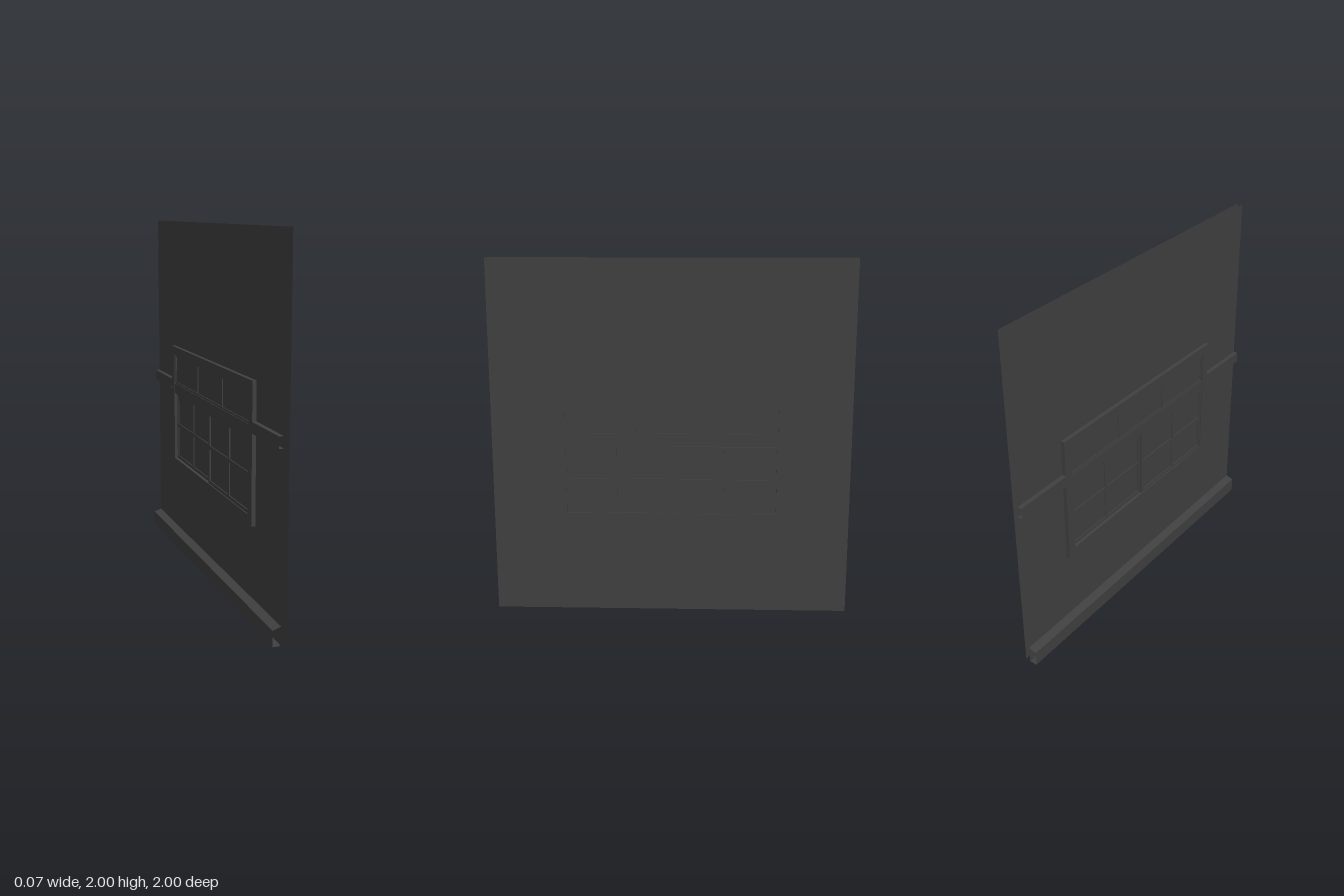
import * as THREE from 'three';

const mat = new THREE.MeshStandardMaterial({ color: 0x404040, side: THREE.DoubleSide });

const OUT_X = 0.037, IN_X = 0.008; // outer and inner wall skins

export function createModel() {
  const model = new THREE.Group();
  const group = (name, parent = model) => {
    const g = new THREE.Group();
    g.name = name;
    parent.add(g);
    return g;
  };
  const add = (parent, name, geo) => {
    const m = new THREE.Mesh(geo, mat);
    m.name = name;
    parent.add(m);
    return m;
  };
  // box given by its extents
  const box = (parent, name, [x0, x1], [y0, y1], [z0, z1]) =>
    add(parent, name, new THREE.BoxGeometry(x1 - x0, y1 - y0, z1 - z0))
      .position.set((x0 + x1) / 2, (y0 + y1) / 2, (z0 + z1) / 2);
  // thin wall skin with a window opening, facing +x (dir 1) or -x (dir -1)
  const skin = (name, x, dir, [y0, y1], [z0, z1]) => {
    const rect = (C, a, b, c, d) => new C([[a, b], [c, b], [c, d], [a, d]].map(p => new THREE.Vector2(...p)));
    const shape = rect(THREE.Shape, -1, 0, 1, 2);
    shape.holes.push(rect(THREE.Path, -dir * z0, y0, -dir * z1, y1));
    const geo = new THREE.ShapeGeometry(shape);
    geo.rotateY(dir * Math.PI / 2).translate(x, 0, 0);
    add(model, name, geo);
  };
  // (x, y) profile swept along z, open at both ends
  const moulding = (parent, name, profile, z0, z1) => {
    const pos = [];
    for (let i = 0; i < profile.length - 1; i++) {
      const [a, b] = [profile[i], profile[i + 1]];
      pos.push(...a, z0, ...a, z1, ...b, z1, ...a, z0, ...b, z1, ...b, z0);
    }
    const geo = new THREE.BufferGeometry();
    geo.setAttribute('position', new THREE.Float32BufferAttribute(pos, 3));
    geo.computeVertexNormals();
    add(parent, name, geo);
  };

  // wall
  skin('outerWall', OUT_X, 1, [0.56, 1.2], [-0.6, 0.615]);
  skin('innerWall', IN_X, -1, [0.55, 1.2], [-0.61, 0.61]);

  // skirting board with sloped top, and wall rail broken by the window
  moulding(model, 'skirtingBoard', [[IN_X, 0], [-0.037, 0], [-0.037, 0.085], [IN_X, 0.1]].reverse(), -1, 1);
  const rail = group('wallRail');
  for (const s of [-1, 1])
    moulding(rail, 'railLength', [[IN_X, 1.045], [-0.017, 1.045], [-0.017, 0.985], [IN_X, 0.985]],
      Math.min(s, s * 0.66), Math.max(s, s * 0.66));

  // inner casing round the window
  const win = group('window');
  const casing = group('casing', win);
  const cx = [-0.014, IN_X];
  box(casing, 'casingTop', cx, [1.2, 1.25], [-0.66, 0.66]);
  box(casing, 'casingBottom', cx, [0.5, 0.55], [-0.66, 0.66]);
  for (const s of [-1, 1])
    box(casing, 'casingSide', cx, [0.55, 1.2], s < 0 ? [-0.66, -0.61] : [0.61, 0.66]);

  // a frame with glazing bars and one pane; bars are [low, high] pairs
  const sash = (name, x, y, z, edge, uprights, levels) => {
    const g = group(name, win);
    const mid = (x[0] + x[1]) / 2;
    box(g, 'pane', [mid - 0.001, mid + 0.001], y, z);
    for (const b of [[z[0], z[0] + edge], ...uprights, [z[1] - edge, z[1]]]) box(g, 'upright', x, y, b);
    const inner = [z[0] + edge, z[1] - edge];
    for (const b of [[y[0], y[0] + edge], ...levels, [y[1] - edge, y[1]]]) box(g, 'crossBar', x, b, inner);
  };
  sash('backSash', [0.004, 0.018], [0.55, 0.96], [-0.61, 0], 0.018, [[-0.32, -0.3]], [[0.75, 0.77]]);
  sash('frontSash', [-0.008, 0.007], [0.55, 0.96], [0, 0.61], 0.018, [[0.305, 0.325]], [[0.75, 0.77]]);
  sash('topLight', [-0.006, 0.007], [1.02, 1.2], [-0.61, 0.61], 0.012,
    [[-0.205, -0.195], [0.2, 0.21]], []);
  box(win, 'transom', [-0.01, 0.007], [0.96, 1.02], [-0.61, 0.61]);

  return model;
}
